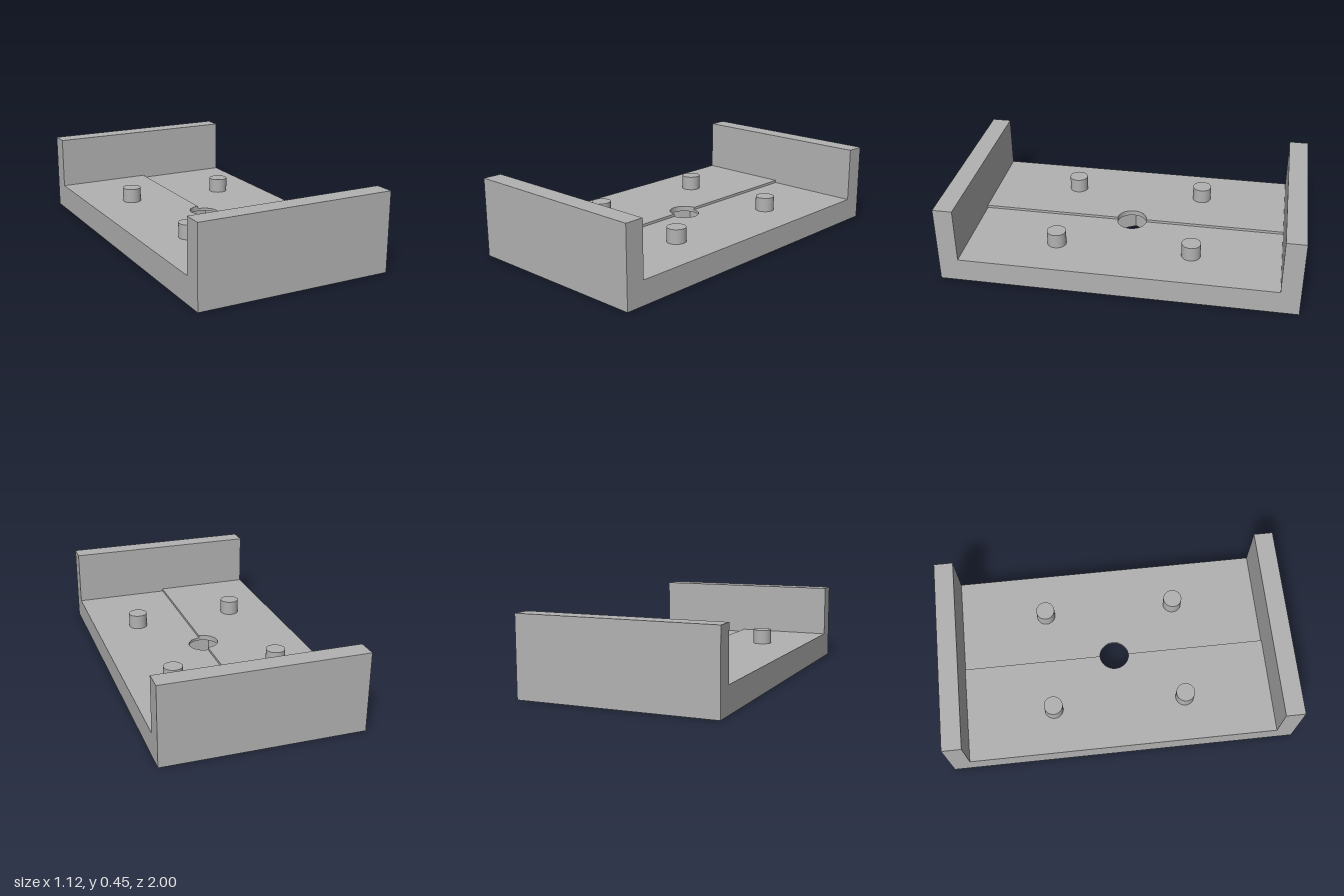
import * as THREE from 'three';

const W = 0.56, L = 1, WALL_H = 0.45, INNER = 0.89; // half width, half length, end wall height and inner face
const BORE = 0.085, HEX = 0.153, POCKET = 0.12;     // bore radius, nut pocket radius and depth
const PIN_R = 0.054, PIN_H = 0.083, PIN_X = 0.3, PIN_Z = 0.385;
const FLOOR = { left: 0.135, right: 0.15 };         // the two floor halves are stepped

export function createModel() {
  const group = new THREE.Group();
  const grey = new THREE.MeshStandardMaterial({ color: 0xb2b2b2, side: THREE.DoubleSide });
  grey.name = 'plain grey';

  const add = (name, geometry, x = 0, y = 0, z = 0) => {
    const mesh = new THREE.Mesh(geometry, grey);
    mesh.name = name;
    mesh.position.set(x, y, z);
    group.add(mesh);
  };
  // rectangle turned about y, standing from y0 to y1
  const upright = (name, width, y0, y1, turn, x, z) =>
    add(name, new THREE.PlaneGeometry(width, y1 - y0).rotateY(turn), x, (y0 + y1) / 2, z);
  const circle = (x, y, r) => new THREE.Path().absarc(x, y, r, 0, Math.PI * 2);
  const hexagon = () => Array.from({ length: 6 }, (_, i) =>
    new THREE.Vector2(HEX * Math.cos(i * Math.PI / 3), HEX * Math.sin(i * Math.PI / 3)));

  // each half: side profile, floor with half bore, inner wall faces and pins
  for (const [side, s] of [['left', 1], ['right', -1]]) {
    const h = FLOOR[side];

    const profile = new THREE.Shape([
      [-L, 0], [L, 0], [L, WALL_H], [INNER, WALL_H],
      [INNER, h], [-INNER, h], [-INNER, WALL_H], [-L, WALL_H],
    ].map(p => new THREE.Vector2(...p)));
    add(side + 'Side', new THREE.ShapeGeometry(profile).rotateY(s * Math.PI / 2), s * W);

    const floor = new THREE.Shape();
    floor.moveTo(0, INNER);
    floor.lineTo(s * W, INNER);
    floor.lineTo(s * W, -INNER);
    floor.lineTo(0, -INNER);
    floor.lineTo(0, -BORE);
    floor.absarc(0, 0, BORE, -Math.PI / 2, Math.PI / 2, s < 0);
    for (const e of [1, -1]) floor.holes.push(circle(s * PIN_X, e * PIN_Z, PIN_R));
    add(side + 'Floor', new THREE.ShapeGeometry(floor, 24).rotateX(-Math.PI / 2), 0, h);

    add(side + 'BoreWall', new THREE.CylinderGeometry(BORE, BORE, h - POCKET, 24, 1, true,
      s > 0 ? 0 : Math.PI, Math.PI), 0, (h + POCKET) / 2);

    for (const e of [1, -1]) {
      upright(side + 'EndWallInside', W, h, WALL_H, e > 0 ? Math.PI : 0, s * W / 2, e * INNER);
      add(side + 'Pin', new THREE.CylinderGeometry(PIN_R, PIN_R, PIN_H, 48, 1, true),
        s * PIN_X, h + PIN_H / 2, e * PIN_Z);
      add(side + 'PinTop', new THREE.CircleGeometry(PIN_R, 48).rotateX(-Math.PI / 2),
        s * PIN_X, h + PIN_H, e * PIN_Z);
    }
  }

  // end walls and the small step along the middle of the floor
  for (const e of [1, -1]) {
    upright('endWallOutside', 2 * W, 0, WALL_H, e > 0 ? 0 : Math.PI, 0, e * L);
    add('endWallTop', new THREE.PlaneGeometry(2 * W, L - INNER).rotateX(-Math.PI / 2),
      0, WALL_H, e * (L + INNER) / 2);
    upright('floorStep', INNER - BORE, FLOOR.left, FLOOR.right, Math.PI / 2, 0, e * (INNER + BORE) / 2);
  }

  // underside with the hexagonal nut pocket
  const underside = new THREE.Shape([[-W, -L], [W, -L], [W, L], [-W, L]].map(p => new THREE.Vector2(...p)));
  underside.holes.push(new THREE.Path(hexagon()));
  add('underside', new THREE.ShapeGeometry(underside).rotateX(Math.PI / 2));

  const ceiling = new THREE.Shape(hexagon());
  ceiling.holes.push(circle(0, 0, BORE));
  add('nutPocketCeiling', new THREE.ShapeGeometry(ceiling, 48).rotateX(Math.PI / 2), 0, POCKET);

  for (let i = 0; i < 6; i++) {
    const a = (i + 0.5) * Math.PI / 3, d = HEX * Math.cos(Math.PI / 6);
    upright('nutPocketWall', HEX, 0, POCKET, -Math.PI / 2 - a, d * Math.cos(a), d * Math.sin(a));
  }
  return group;
}
